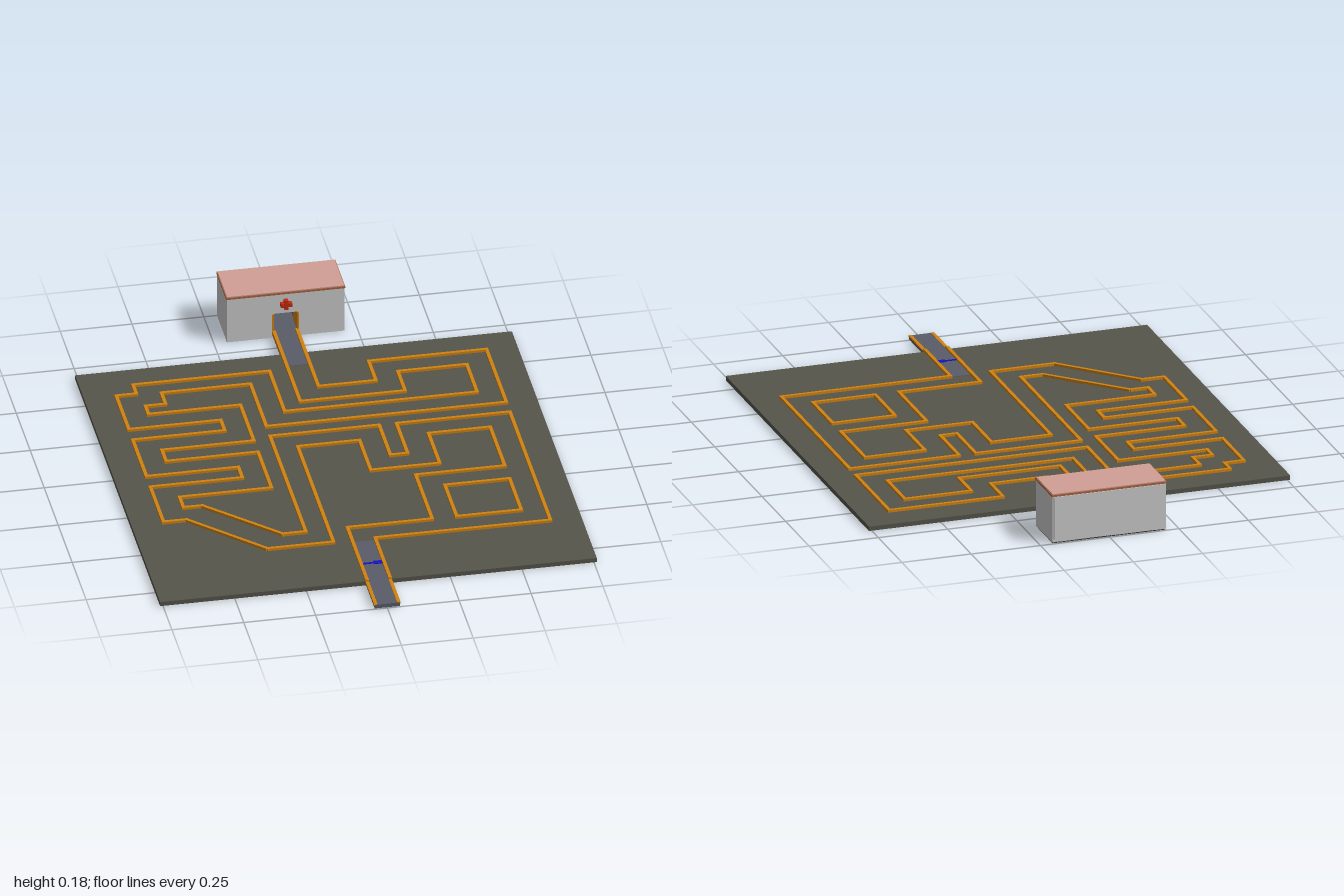
import * as THREE from 'three';

const mat = (color) => new THREE.MeshStandardMaterial({ color, flatShading: true });
const olive = mat(0x55554b), slate = mat(0x5a5d68), orange = mat(0xd08210), dark = mat(0x3a3a36);
const grey = mat(0xcccccc), pink = mat(0xd09f96), brown = mat(0xa8633f);
const red = mat(0xc02a10), blue = mat(0x1414c8);

// Box given by its lower and upper limits
function slab(name, material, [x0, x1], [y0, y1], [z0, z1]) {
  const mesh = new THREE.Mesh(new THREE.BoxGeometry(x1 - x0, y1 - y0, z1 - z0), material);
  mesh.position.set((x0 + x1) / 2, (y0 + y1) / 2, (z0 + z1) / 2);
  mesh.name = name;
  return mesh;
}

// Raised kerb following [x, z] corner points
function kerb(name, points) {
  const group = new THREE.Group(), w = 0.012, y0 = 0.012, y1 = 0.025;
  group.name = name;
  for (let i = 0; i < points.length - 1; i++) {
    const [ax, az] = points[i], [bx, bz] = points[i + 1];
    const length = Math.hypot(bx - ax, bz - az);
    const mesh = new THREE.Mesh(new THREE.BoxGeometry(length + w, y1 - y0, w), orange);
    mesh.position.set((ax + bx) / 2, (y0 + y1) / 2, (az + bz) / 2);
    mesh.rotation.y = -Math.atan2(bz - az, bx - ax);
    mesh.name = name + 'Segment';
    group.add(mesh);
  }
  return group;
}

const innerLine = [
  [-0.04, 0.84], [-0.04, 0.49], [0.255, 0.49], [0.255, 0.195], [0.565, 0.195], [0.565, -0.065],
  [0.35, -0.065], [0.35, 0.135], [0.11, 0.135], [0.11, -0.065], [-0.105, -0.065], [-0.105, 0.575],
  [-0.335, 0.575], [-0.57, 0.335], [-0.65, 0.335], [-0.65, 0.1], [-0.33, 0.1], [-0.33, 0.03],
  [-0.65, 0.03], [-0.65, -0.215], [-0.33, -0.215], [-0.33, -0.285], [-0.65, -0.285], [-0.65, -0.51],
  [-0.58, -0.51], [-0.58, -0.57], [-0.105, -0.57], [-0.105, -0.3], [0.565, -0.3], [0.565, -0.485],
  [0.325, -0.485], [0.325, -0.355], [-0.04, -0.355], [-0.04, -0.82],
];
const outerLine = [
  [0.04, 0.84], [0.04, 0.575], [0.65, 0.575], [0.65, -0.15], [0.255, -0.15], [0.255, 0.05],
  [0.195, 0.05], [0.195, -0.15], [-0.185, -0.15], [-0.185, 0.49], [-0.265, 0.49], [-0.5, 0.255],
  [-0.565, 0.255], [-0.565, 0.185], [-0.245, 0.185], [-0.245, -0.055], [-0.565, -0.055],
  [-0.565, -0.13], [-0.245, -0.13], [-0.245, -0.37], [-0.565, -0.37], [-0.565, -0.425],
  [-0.495, -0.425], [-0.495, -0.5], [-0.185, -0.5], [-0.185, -0.215], [0.65, -0.215],
  [0.65, -0.57], [0.24, -0.57], [0.24, -0.44], [0.04, -0.44], [0.04, -0.82],
];
const island = [[0.34, 0.28], [0.565, 0.28], [0.565, 0.49], [0.34, 0.49], [0.34, 0.28]];

function createHut() {
  const hut = new THREE.Group();
  hut.name = 'hut';
  // Front wall with the doorway cut out
  const shape = new THREE.Shape();
  shape.moveTo(-0.205, 0).lineTo(-0.047, 0).lineTo(-0.047, 0.095).lineTo(0.047, 0.095)
    .lineTo(0.047, 0).lineTo(0.205, 0).lineTo(0.205, 0.172).lineTo(-0.205, 0.172);
  const front = new THREE.Mesh(
    new THREE.ExtrudeGeometry(shape, { depth: 0.015, bevelEnabled: false }), grey);
  front.position.z = -0.835;
  front.name = 'hutFrontWall';
  hut.add(front);
  // Side and back walls, floor and roof
  for (const s of [-1, 1]) {
    const x = s * 0.2;
    hut.add(slab('hutSideWall', grey, [x - 0.005, x + 0.005], [0.003, 0.172], [-0.993, -0.835]));
    const j = s * 0.047;
    hut.add(slab('doorJamb', orange, [j - 0.006, j + 0.006], [0.004, 0.09], [-0.9, -0.822]));
  }
  hut.add(slab('hutBackWall', grey, [-0.195, 0.195], [0.003, 0.172], [-0.993, -0.983]));
  hut.add(slab('hutBackPanel', grey, [-0.2, 0.2], [0.015, 0.17], [-1, -0.993]));
  hut.add(slab('hutFloor', dark, [-0.204, 0.204], [0, 0.004], [-0.993, -0.836]));
  hut.add(slab('roofTrim', brown, [-0.207, 0.207], [0.17, 0.177], [-0.997, -0.818]));
  hut.add(slab('roof', pink, [-0.204, 0.204], [0.176, 0.18], [-0.994, -0.821]));
  // Cross above the doorway
  hut.add(slab('crossBar', red, [-0.02, 0.02], [0.126, 0.14], [-0.822, -0.803]));
  hut.add(slab('crossPost', red, [-0.007, 0.007], [0.115, 0.151], [-0.822, -0.804]));
  return hut;
}

export function createModel() {
  const model = new THREE.Group();
  model.name = 'mazeBoard';
  model.add(slab('board', olive, [-0.76, 0.76], [0, 0.016], [-0.68, 0.84]));

  // Lanes leading on and off the board
  model.add(slab('entryLane', slate, [-0.044, 0.044], [0.003, 0.0175], [0.58, 1]));
  model.add(slab('exitLane', slate, [-0.044, 0.044], [0.003, 0.0175], [-0.99, -0.6]));
  for (const x of [-0.04, 0.04])
    model.add(slab('entryLaneEdge', orange, [x - 0.006, x + 0.006], [0.013, 0.019], [0.84, 1]));

  // Kerbs of the winding path
  model.add(kerb('innerKerb', innerLine), kerb('outerKerb', outerLine), kerb('islandKerb', island));

  // Start marker on the entry lane
  model.add(slab('startMarkerBlock', blue, [0.005, 0.034], [0.016, 0.021], [0.72, 0.737]));
  model.add(slab('startMarkerLine', blue, [-0.034, 0.006], [0.016, 0.02], [0.725, 0.732]));

  model.add(createHut());
  return model;
}
